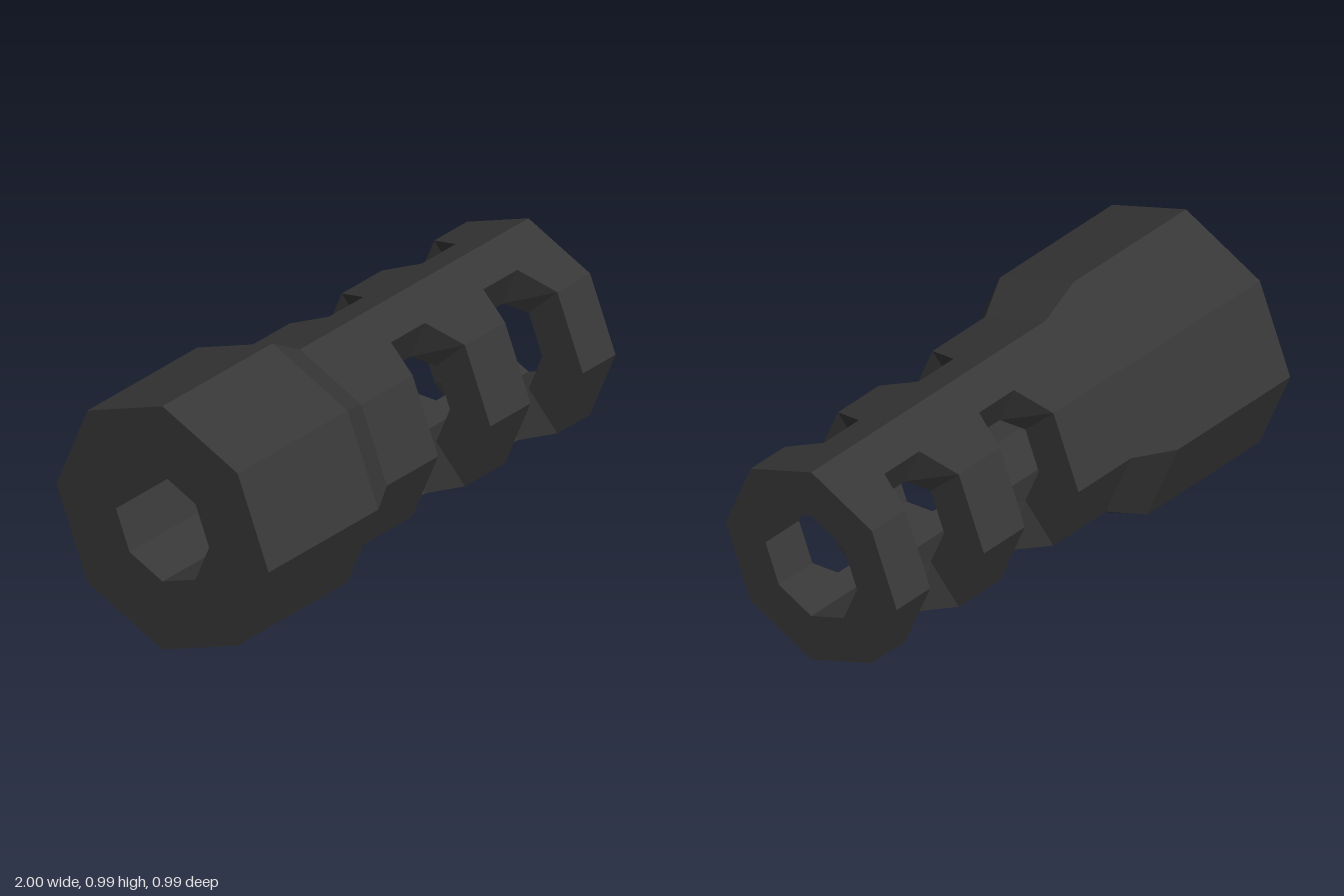
import * as THREE from 'three';

const CY = 0.496;                       // height of the tube axis
const R_BACK = 0.496, R_FRONT = 0.407, R_BORE = 0.218;
const X_JOIN = -0.25, X_END = 1;
const PORTS = [0.173, 0.678];           // port centres along x
// half-length of a port at each station from the side (0) to the ridge (4)
const HALF = [0.143, 0.143, 0.143, 0.093, 0];

// Stations lie every 22.5 degrees: even ones on octagon corners, odd ones mid-face
const fold = (j) => { const m = j % 8; return m <= 4 ? m : 8 - m; };
function point(j, radius, x) {
  const a = j * Math.PI / 8;
  const r = j % 2 ? radius * Math.cos(Math.PI / 8) : radius;
  return [x, CY + r * Math.sin(a), r * Math.cos(a)];
}

function geometryFromQuads(quads) {
  const pos = [];
  for (const [a, b, c, d] of quads) pos.push(...a, ...b, ...c, ...a, ...c, ...d);
  const g = new THREE.BufferGeometry();
  g.setAttribute('position', new THREE.Float32BufferAttribute(pos, 3));
  g.computeVertexNormals();
  return g;
}

// Ported front tube, built strip by strip around the axis
function barrelGeometry() {
  const quads = [];
  for (let j = 0; j < 16; j++) {
    const n = j + 1;
    const out = (i, x) => point(i, R_FRONT, x);
    const inn = (i, x) => point(i, R_BORE, x);
    const closed = Math.max(fold(j), fold(n)) === 4;

    // x limits of the solid pieces, given at both stations of the strip
    const cuts = [[X_JOIN, X_JOIN]];
    if (!closed) {
      for (const c of PORTS) {
        cuts.push([c - HALF[fold(j)], c - HALF[fold(n)]]);
        cuts.push([c + HALF[fold(j)], c + HALF[fold(n)]]);
      }
    }
    cuts.push([X_END, X_END]);

    for (let i = 0; i < cuts.length; i += 2) {
      const [a, an] = cuts[i], [b, bn] = cuts[i + 1];
      quads.push([out(j, a), out(j, b), out(n, bn), out(n, an)]);
      quads.push([inn(j, a), inn(n, an), inn(n, bn), inn(j, b)]);
      // walls facing forward (port or muzzle) and backward (port)
      quads.push([inn(j, b), inn(n, bn), out(n, bn), out(j, b)]);
      if (i > 0) quads.push([out(j, a), out(n, an), inn(n, an), inn(j, a)]);
    }

    // upper and lower end walls of the ports
    if (fold(j) === 3) {
      for (const c of PORTS) {
        const x0 = c - HALF[3], x1 = c + HALF[3];
        const wall = [out(j, x0), out(j, x1), inn(j, x1), inn(j, x0)];
        quads.push(j % 8 === 3 ? wall.reverse() : wall);
      }
    }
  }
  return geometryFromQuads(quads);
}

// Wide rear collar with its taper and bore
function collarGeometry() {
  const profile = [
    [R_BORE, X_JOIN], [R_BORE, -1], [R_BACK, -1], [R_BACK, -0.4], [R_FRONT, X_JOIN],
  ].map(([r, x]) => new THREE.Vector2(r, x));
  const g = new THREE.LatheGeometry(profile, 8).toNonIndexed();
  g.rotateZ(-Math.PI / 2);
  g.translate(0, CY, 0);
  g.computeVertexNormals();
  return g;
}

export function createModel() {
  const metal = new THREE.MeshStandardMaterial({ color: 0x383838, flatShading: true });
  metal.name = 'dark metal';

  const model = new THREE.Group();
  model.name = 'muzzleBrake';
  const parts = { rearCollar: collarGeometry(), portedBarrel: barrelGeometry() };
  for (const [name, geometry] of Object.entries(parts)) {
    const mesh = new THREE.Mesh(geometry, metal);
    mesh.name = name;
    model.add(mesh);
  }
  return model;
}
